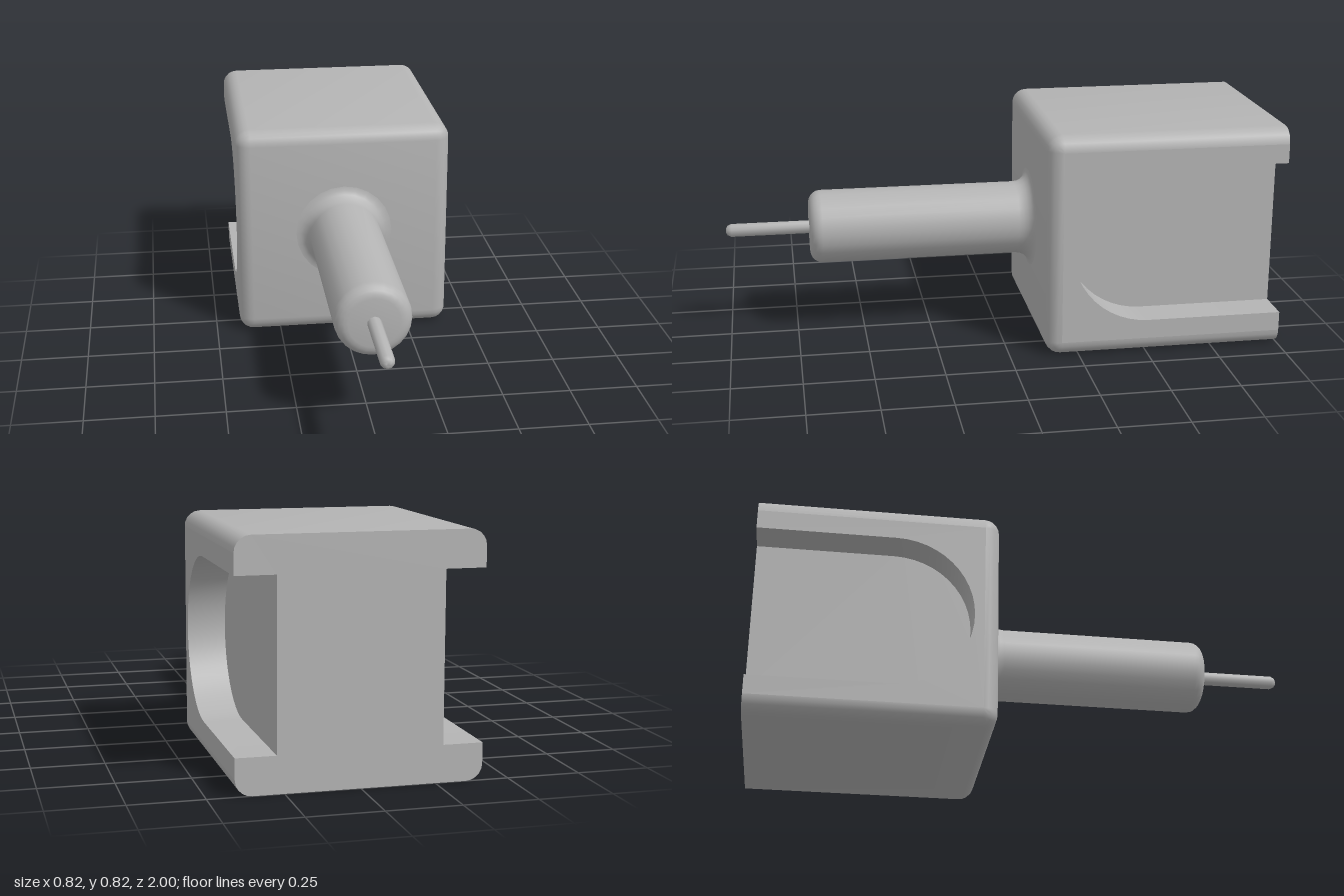
import * as THREE from 'three';
import { toCreasedNormals } from 'three/addons/utils/BufferGeometryUtils.js';

const HALF = 0.41, CY = 0.41, FRONT = -0.13, BACK = -1; // block size
const R = 0.055, STEPS = 5;                             // edge rounding
const WEB = 0.275, SLOT_R = 0.285, SLOT_Z = -0.505;     // side slots

// Surface through rows of points, facing (row direction) x (column direction)
function loft(rows) {
  const n = rows[0].length, index = [];
  for (let i = 0; i < rows.length - 1; i++) {
    for (let j = 0; j < n - 1; j++) {
      const a = i * n + j, b = a + n;
      index.push(a, b, b + 1, a, b + 1, a + 1);
    }
  }
  const geo = new THREE.BufferGeometry().setFromPoints(rows.flat());
  geo.setIndex(index);
  return toCreasedNormals(geo, 0.6);
}

// Block outline as [z, y], from bottom back round the front to top back
function outline(r) {
  const pts = [[BACK, R - r]], h = HALF - R;
  for (const [side, start] of [[-1, -Math.PI / 2], [1, 0]]) {
    for (let i = 0; i <= STEPS; i++) {
      const a = start + (i / STEPS) * Math.PI / 2;
      pts.push([FRONT - R + r * Math.cos(a), CY + side * h + r * Math.sin(a)]);
    }
  }
  pts.push([BACK, 2 * HALF - R + r]);
  return pts;
}

// Slot outline as [z, y], in the same direction
function slotOutline() {
  const pts = [[BACK, CY - SLOT_R]];
  for (let i = 0; i <= 24; i++) {
    const a = -Math.PI / 2 + (i / 24) * Math.PI;
    pts.push([SLOT_Z + SLOT_R * Math.cos(a), CY + SLOT_R * Math.sin(a)]);
  }
  pts.push([BACK, CY + SLOT_R]);
  return pts;
}

const at = (x, pts) => pts.map(([z, y]) => new THREE.Vector3(x, y, z));

// Flat face across x, facing outward on the given side
function sideFace(side, x, pts) {
  const shape = new THREE.Shape(pts.map(([z, y]) => new THREE.Vector2(-side * z, y)));
  return new THREE.ShapeGeometry(shape).rotateY(side * Math.PI / 2).translate(side * x, 0, 0);
}

// Add a rounded corner to a 2D point list
function arc(pts, cx, cy, start, end) {
  for (let i = 0; i <= STEPS; i++) {
    const a = start + (end - start) * i / STEPS;
    pts.push(new THREE.Vector2(cx + R * Math.cos(a), cy + R * Math.sin(a)));
  }
}

export function createModel() {
  const model = new THREE.Group();
  model.name = 'slottedBlockWithPin';
  const grey = new THREE.MeshStandardMaterial({ color: 0xb4b4b4 });
  grey.name = 'grey';
  const add = (parent, name, geo) => {
    const mesh = new THREE.Mesh(geo, grey);
    mesh.name = name;
    parent.add(mesh);
    return mesh;
  };

  const block = new THREE.Group();
  block.name = 'block';
  model.add(block);

  // Rounded outer shell: bottom, front and top
  const rows = [];
  for (const side of [-1, 1]) {
    for (let i = 0; i <= STEPS; i++) {
      const t = (side < 0 ? 1 - i / STEPS : i / STEPS) * Math.PI / 2;
      rows.push(at(side * (HALF - R + R * Math.sin(t)), outline(R * Math.cos(t))));
    }
  }
  add(block, 'outerShell', loft(rows));

  // Both sides: outer rim, slot wall and slot floor
  const slot = slotOutline();
  for (const side of [-1, 1]) {
    const label = side > 0 ? 'left' : 'right';
    add(block, label + 'Rim', sideFace(side, HALF, [...outline(0), ...slot.slice().reverse()]));
    const xs = side > 0 ? [HALF, WEB] : [-WEB, -HALF];
    add(block, label + 'SlotWall', loft(xs.map((x) => at(x, slot))));
    add(block, label + 'SlotFloor', sideFace(side, WEB, slot));
  }

  // H-shaped back face
  const h = [], c = HALF - R, P = Math.PI;
  arc(h, -c, R, P, 1.5 * P);
  arc(h, c, R, -P / 2, 0);
  for (const [x, y] of [[HALF, -1], [WEB, -1], [WEB, 1], [HALF, 1]]) h.push(new THREE.Vector2(x, CY + y * SLOT_R));
  arc(h, c, 2 * HALF - R, 0, P / 2);
  arc(h, -c, 2 * HALF - R, P / 2, P);
  for (const [x, y] of [[HALF, 1], [WEB, 1], [WEB, -1], [HALF, -1]]) h.push(new THREE.Vector2(-x, CY + y * SLOT_R));
  add(block, 'backFace', new THREE.ShapeGeometry(new THREE.Shape(h)).rotateY(P).translate(0, 0, BACK));

  // Turned part along z from [radius, z] points
  const turned = (pts, sides) => toCreasedNormals(
    new THREE.LatheGeometry(pts.map(([r, z]) => new THREE.Vector2(r, z)), sides)
      .rotateX(Math.PI / 2).translate(0, CY, 0), 0.9);

  // Stem with flared root and rounded end
  const stem = [];
  for (let i = 0; i <= 5; i++) {
    const a = (i / 5) * Math.PI / 2;
    stem.push([0.185 - 0.05 * Math.sin(a), FRONT + 0.055 * (1 - Math.cos(a))]);
  }
  for (let i = 0; i <= 5; i++) {
    const a = (i / 5) * Math.PI / 2;
    stem.push([0.09 + 0.045 * Math.cos(a), 0.65 + 0.045 * Math.sin(a)]);
  }
  stem.push([0, 0.695]);
  add(model, 'stem', turned(stem, 24));

  // Thin pin with rounded tip
  add(model, 'pin', turned([[0.025, 0.68], [0.025, 0.98], [0.018, 0.994], [0.008, 1], [0, 1]], 10));
  return model;
}
